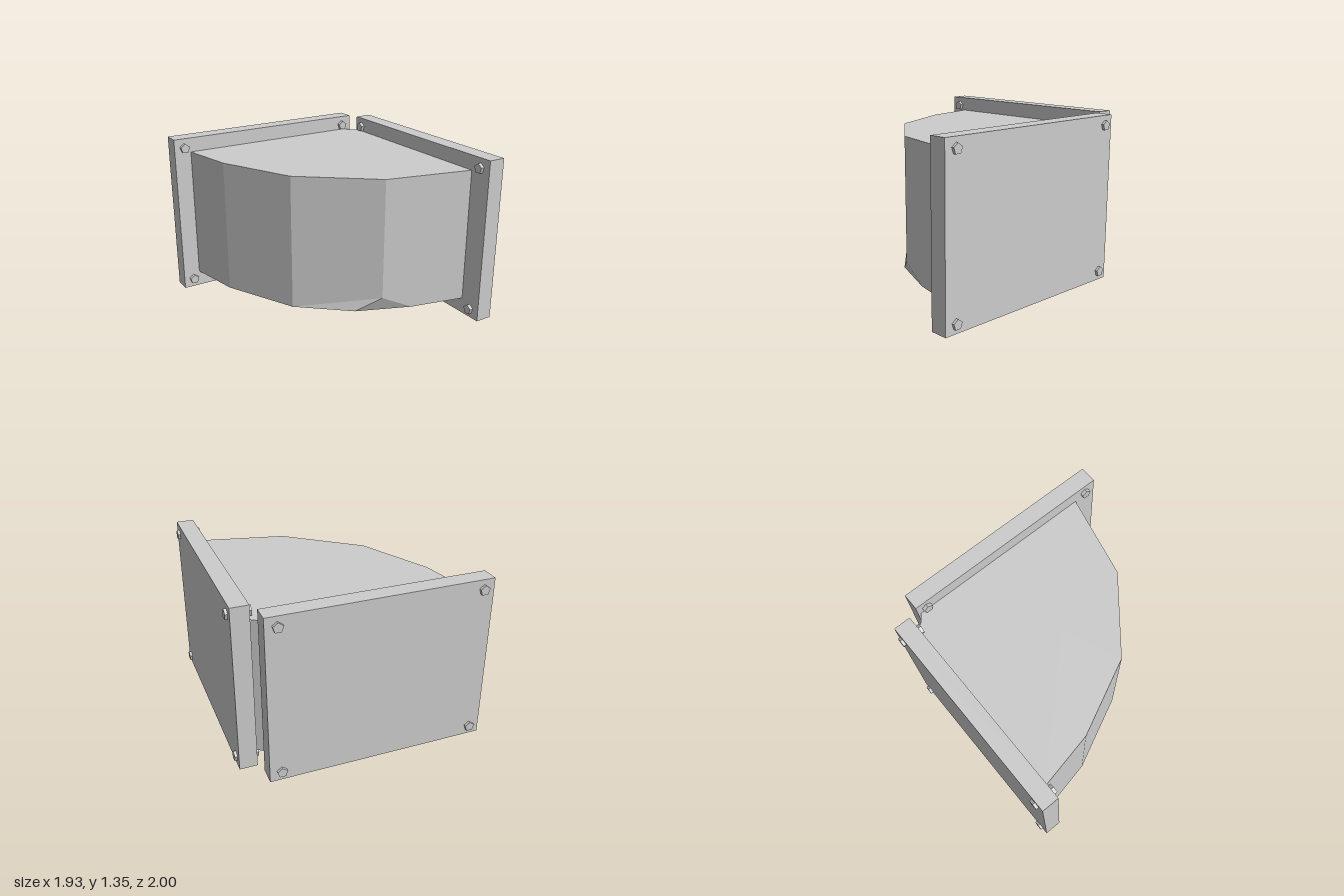
import * as THREE from 'three';

const grey = new THREE.MeshStandardMaterial({ color: 0xcccccc });
grey.name = 'plainGrey';

const BASE = 0.13, TOP = 1.23, CUT = 0.25;

// Faceted elbow body: stacked rings, with the front corner chamfered at the base
function bodyGeometry() {
  // outline [x, z], anticlockwise seen from above; the front corner is doubled
  const outline = [
    [-0.83, -0.84], [-0.74, -0.39], [-0.46, 0.2], [0.1, 0.65], [0.1, 0.65],
    [0.8, 0.81], [0.8, -0.74], [0.74, -0.78], [0.71, -0.84],
  ];
  const foot = outline.map((p) => [...p]);
  foot[3] = [-0.08, 0.53];
  foot[4] = [0.35, 0.707];

  const ring = (points, y) => points.map(([x, z]) => [x, y, z]);
  const rings = [ring(foot, BASE), ring(outline, CUT), ring(outline, TOP)];
  const verts = [];
  const tri = (...corners) => corners.forEach((c) => verts.push(...c));
  const n = outline.length;
  for (let i = 0; i < n; i++) {
    const j = (i + 1) % n;
    for (let k = 0; k < 2; k++) {
      const lower = rings[k], upper = rings[k + 1];
      if (i === 3) {
        // the doubled corner only opens out at its foot
        if (k === 0) tri(lower[i], lower[j], upper[j]);
        continue;
      }
      tri(lower[i], lower[j], upper[j]);
      tri(lower[i], upper[j], upper[i]);
    }
    tri([0, TOP, 0], rings[2][i], rings[2][j]);
    tri([0, BASE, 0], rings[0][j], rings[0][i]);
  }
  const geometry = new THREE.BufferGeometry();
  geometry.setAttribute('position', new THREE.Float32BufferAttribute(verts, 3));
  geometry.computeVertexNormals();
  return geometry;
}

export function createModel() {
  const model = new THREE.Group();
  model.name = 'ductElbow';

  const add = (name, geometry, x, y, z) => {
    const mesh = new THREE.Mesh(geometry, grey);
    mesh.name = name;
    mesh.position.set(x, y, z);
    model.add(mesh);
  };

  add('elbowBody', bodyGeometry(), 0, 0, 0);

  // Square flange plates on the back and the side
  add('backFlange', new THREE.BoxGeometry(1.74, 1.35, 0.14), -0.1, 0.675, -0.908);
  add('sideFlange', new THREE.BoxGeometry(0.14, 1.35, 1.76), 0.87, 0.675, 0.12);

  // Five-sided bolts passing through each flange corner
  const flatBolt = new THREE.CylinderGeometry(0.041, 0.041, 0.19, 5).toNonIndexed();
  flatBolt.computeVertexNormals();
  flatBolt.rotateX(-Math.PI / 2);
  const sideBolt = flatBolt.clone().rotateY(Math.PI / 2);
  for (const y of [0.073, 1.27]) {
    for (const x of [-0.885, 0.678]) add('backBolt', flatBolt, x, y, -0.905);
    for (const z of [-0.675, 0.903]) add('sideBolt', sideBolt, 0.866, y, z);
  }
  return model;
}
